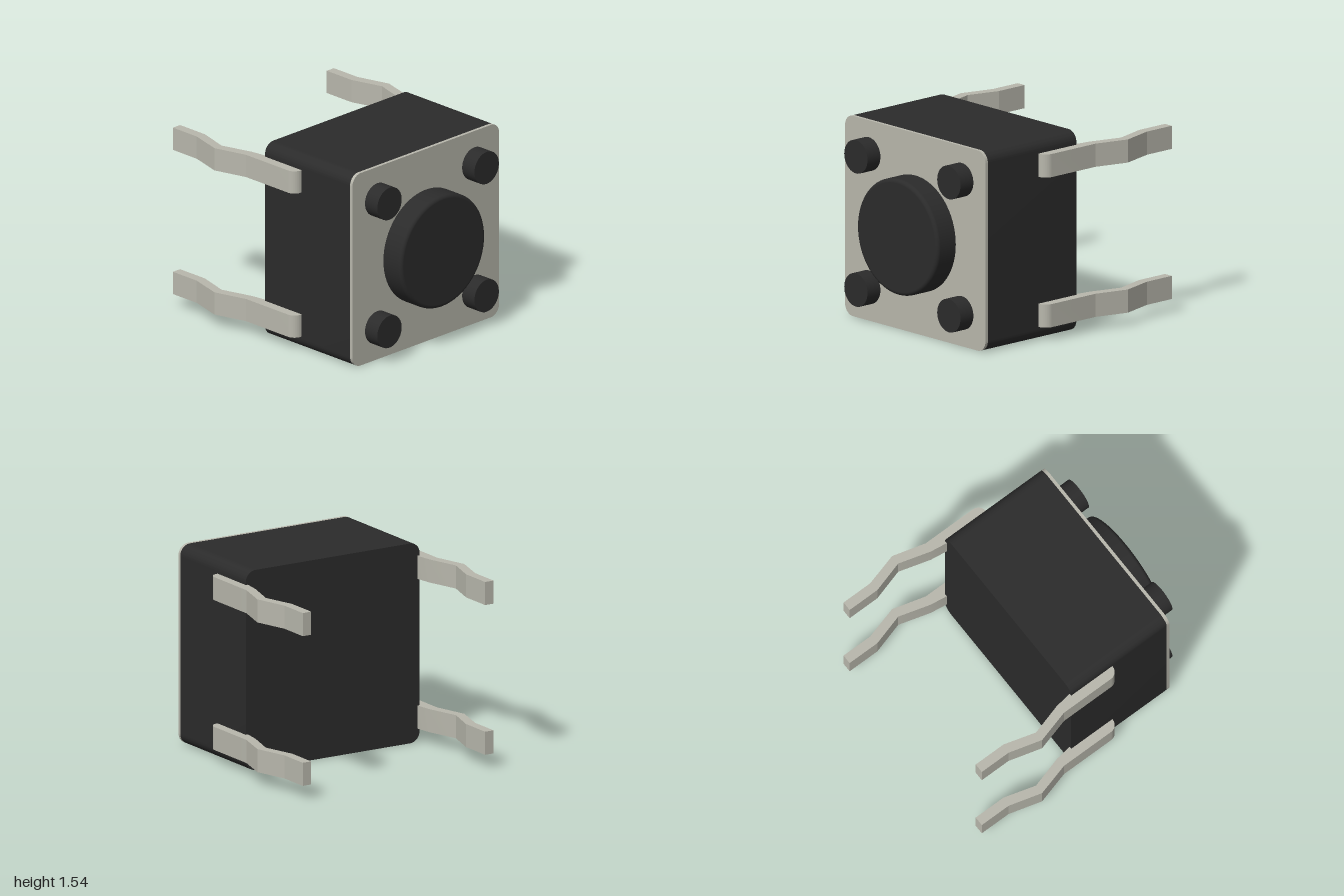
import * as THREE from 'three';
import { toCreasedNormals } from 'three/addons/utils/BufferGeometryUtils.js';

const SIZE = 1.54, MID = SIZE / 2;
const black = new THREE.MeshStandardMaterial({ color: 0x2b2b2b });
const metal = new THREE.MeshStandardMaterial({ color: 0xb8b7ac });

function roundedSquare(size, r) {
  const h = size / 2, s = new THREE.Shape();
  s.moveTo(-h + r, -h);
  s.lineTo(h - r, -h);
  s.absarc(h - r, -h + r, r, -Math.PI / 2, 0);
  s.absarc(h - r, h - r, r, 0, Math.PI / 2);
  s.absarc(-h + r, h - r, r, Math.PI / 2, Math.PI);
  s.absarc(-h + r, -h + r, r, Math.PI, Math.PI * 1.5);
  return s;
}

function extrude(shape, depth) {
  const g = new THREE.ExtrudeGeometry(shape, { depth, bevelEnabled: false, curveSegments: 10 });
  return toCreasedNormals(g, 0.45);
}

function add(group, name, geometry, material, x, y, z) {
  const mesh = new THREE.Mesh(geometry, material);
  mesh.name = name;
  mesh.position.set(x, y, z);
  group.add(mesh);
  return mesh;
}

// Kinked strip drawn in (x, -z), extruded upwards and centred on y = 0
function legGeometry(height) {
  const s = new THREE.Shape();
  s.moveTo(0.75, -0.28);
  s.lineTo(0.775, -0.28);
  s.absarc(0.775, -0.21, 0.07, -Math.PI / 2, 0);
  s.lineTo(0.845, 0.23);
  s.lineTo(0.917, 0.49);
  s.lineTo(0.845, 0.75);
  s.lineTo(0.845, 1);
  s.lineTo(0.77, 1);
  s.lineTo(0.77, 0.74);
  s.lineTo(0.842, 0.49);
  s.lineTo(0.77, 0.24);
  s.lineTo(0.75, 0.1);
  const g = new THREE.ExtrudeGeometry(s, { depth: height, bevelEnabled: false, curveSegments: 8 });
  g.rotateX(-Math.PI / 2).translate(0, -height / 2, 0);
  return toCreasedNormals(g, 0.25);
}

export function createModel() {
  const model = new THREE.Group();
  model.name = 'pushSwitch';

  // Housing and front cover plate
  add(model, 'housing', extrude(roundedSquare(SIZE, 0.085), 0.895), black, 0, MID, -0.105);
  add(model, 'coverPlate', extrude(roundedSquare(SIZE, 0.085), 0.025), metal, 0, MID, 0.79);

  // Round button with a softened front edge
  const profile = [new THREE.Vector2(0.445, 0.8)];
  for (let i = 0; i <= 6; i++) {
    const a = (i / 6) * Math.PI / 2;
    profile.push(new THREE.Vector2(0.415 + 0.03 * Math.cos(a), 0.97 + 0.03 * Math.sin(a)));
  }
  profile.push(new THREE.Vector2(0, 1));
  const button = new THREE.LatheGeometry(profile, 64).rotateX(Math.PI / 2);
  add(model, 'button', button, black, 0, MID, 0);

  // Corner pegs
  const peg = new THREE.CylinderGeometry(0.128, 0.128, 0.155, 40).rotateX(Math.PI / 2);
  for (const x of [-0.51, 0.51]) {
    for (const dy of [-0.512, 0.512]) add(model, 'cornerPeg', peg, black, x, MID + dy, 0.8675);
  }

  // Four terminal legs; the right pair is the left one turned over
  const leg = legGeometry(0.178);
  for (const side of [1, -1]) {
    for (const dy of [-0.577, 0.577]) {
      const mesh = add(model, side > 0 ? 'leftLeg' : 'rightLeg', leg, metal, 0, MID + dy, 0);
      if (side < 0) mesh.rotation.z = Math.PI;
    }
  }
  return model;
}
